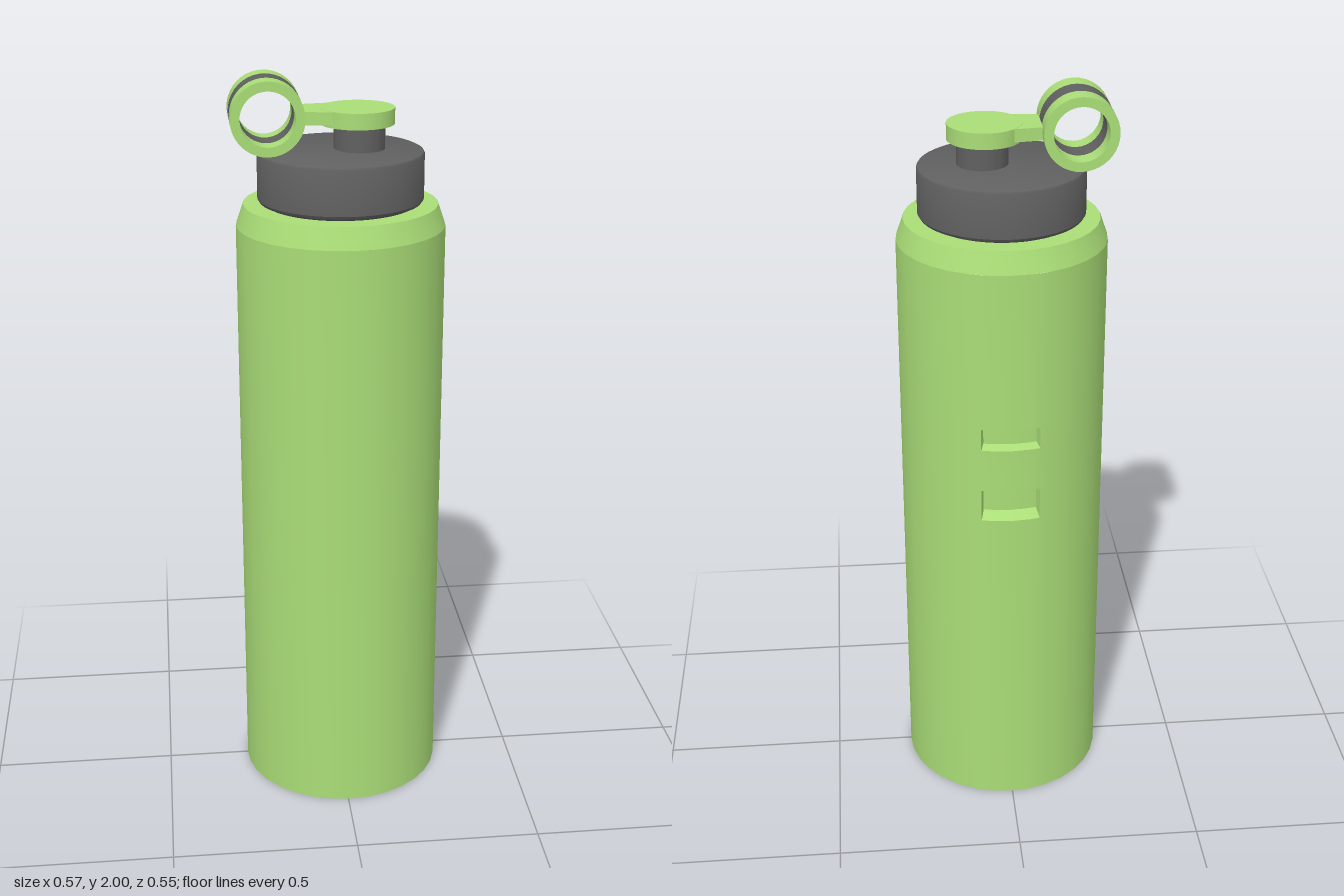
import * as THREE from 'three';
import { toCreasedNormals } from 'three/addons/utils/BufferGeometryUtils.js';

const green = new THREE.MeshStandardMaterial({ color: 0xaadd77 });
const dark = new THREE.MeshStandardMaterial({ color: 0x606060 });
const CX = 0.006;

function add(parent, name, geometry, material, x = 0, y = 0, z = 0) {
  const mesh = new THREE.Mesh(toCreasedNormals(geometry, 0.5), material);
  mesh.name = name;
  mesh.position.set(x, y, z);
  parent.add(mesh);
  return mesh;
}

const lathe = (points, sides) =>
  new THREE.LatheGeometry(points.map(([r, y]) => new THREE.Vector2(r, y)), sides);

// Cylindrical wall whose rows sink inwards over a narrow arc at the back
function wallGeometry(radius, sides) {
  const half = 0.285;
  const angles = [-half, -half + 0.004, half - 0.004, half];
  for (let i = 0; i <= sides; i++) angles.push((i / sides * 2 - 1) * Math.PI);
  angles.sort((a, b) => a - b);
  // Each row: height, recess depth
  const rows = [[0, 0], [0.91, 0], [0.93, 0.025], [0.998, 0.025], [1, 0],
    [1.12, 0], [1.128, 0.025], [1.178, 0.025], [1.18, 0], [1.61, 0]];
  const positions = [], index = [], n = angles.length;
  for (const [y, depth] of rows) {
    for (const a of angles) {
      const r = radius - (Math.abs(a) < half - 0.002 ? depth : 0);
      positions.push(-r * Math.sin(a), y, -r * Math.cos(a));
    }
  }
  for (let j = 0; j < rows.length - 1; j++) {
    for (let i = 0; i < n - 1; i++) {
      const a = j * n + i, b = a + 1, c = a + n, d = c + 1;
      index.push(a, c, b, b, c, d);
    }
  }
  // Wind the faces outwards
  for (let k = 0; k < index.length; k += 3) {
    [index[k + 1], index[k + 2]] = [index[k + 2], index[k + 1]];
  }
  const g = new THREE.BufferGeometry();
  g.setAttribute('position', new THREE.Float32BufferAttribute(positions, 3));
  g.setIndex(index);
  g.computeVertexNormals();
  return g;
}

// Closed tube section lying along z
function addRing(parent, name, outer, inner, z0, z1, material) {
  const g = lathe([[inner, z0], [outer, z0], [outer, z1], [inner, z1], [inner, z0]], 40);
  g.rotateX(Math.PI / 2);
  return add(parent, name, g, material);
}

export function createModel() {
  const model = new THREE.Group();
  model.name = 'waterBottle';

  // Body: wall with two recesses, chamfered shoulder, base
  const body = new THREE.Group();
  body.name = 'body';
  body.position.x = CX;
  model.add(body);
  const R = 0.277;
  add(body, 'bodyWall', wallGeometry(R, 32), green);
  add(body, 'shoulder', lathe([[R, 1.61], [0.257, 1.667], [0.15, 1.667]], 32), green);
  add(body, 'base', lathe([[0, 0], [R, 0]], 32), green);

  // Lid with softened edges
  const lid = [[0.19, 1.66], [0.205, 1.671], [0.214, 1.674], [0.219, 1.682],
    [0.219, 1.798], [0.216, 1.804], [0.208, 1.808], [0, 1.81]];
  add(model, 'lid', lathe(lid, 64), dark, CX);

  // Spout post under the cap
  add(model, 'spout', new THREE.CylinderGeometry(0.067, 0.067, 0.08, 40), dark, 0.055, 1.845);

  // Spout cap disc and the arm that carries the loop
  add(model, 'spoutCap', new THREE.CylinderGeometry(0.097, 0.097, 0.042, 48), green, 0.05, 1.895);
  const arm = new THREE.Shape([[-0.11, -0.053], [-0.01, -0.068], [0.05, -0.068],
    [0.05, 0.068], [-0.01, 0.068], [-0.11, 0.053]].map(([x, y]) => new THREE.Vector2(x, y)));
  const armGeometry = new THREE.ExtrudeGeometry(arm, { depth: 0.034, bevelEnabled: false });
  armGeometry.rotateX(-Math.PI / 2);
  add(model, 'capArm', armGeometry, green, 0, 1.8815);

  // Carry loop: two green sleeves around a dark band
  const loop = new THREE.Group();
  loop.name = 'carryLoop';
  loop.position.set(-0.188, 1.904, -0.002);
  model.add(loop);
  addRing(loop, 'loopSleeveFront', 0.096, 0.071, 0.033, 0.089, green);
  addRing(loop, 'loopSleeveBack', 0.096, 0.071, -0.089, -0.033, green);
  addRing(loop, 'loopBand', 0.0955, 0.07, -0.033, 0.033, dark);

  return model;
}
